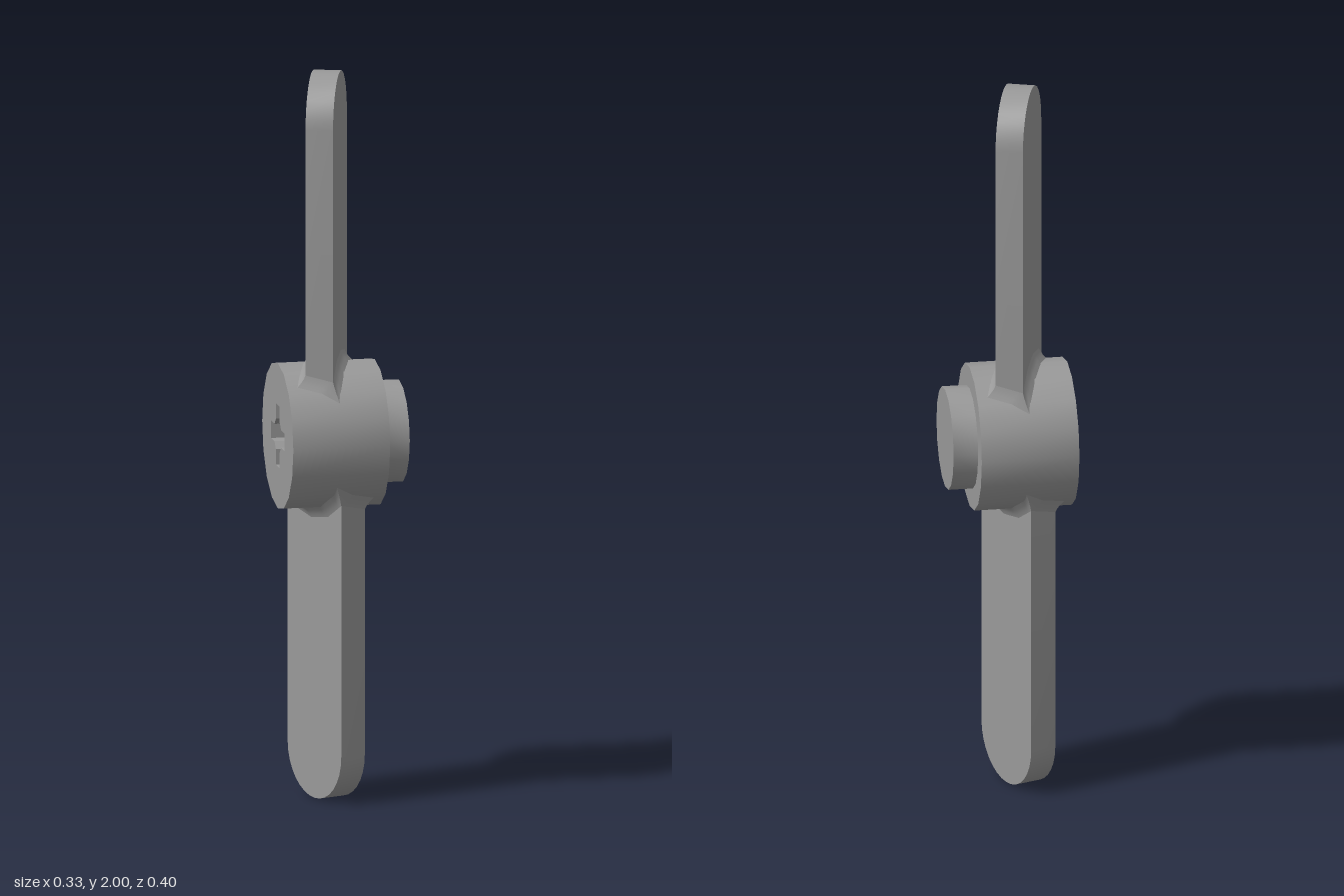
import * as THREE from 'three';
import { toCreasedNormals } from 'three/addons/utils/BufferGeometryUtils.js';

const HUB_R = 0.2, HUB_SIDES = 16, HALF_W = 0.136, HALF_T = 0.0375;
const PITCH = THREE.MathUtils.degToRad(70), BLADE_X = -0.0335;
const material = new THREE.MeshStandardMaterial({ color: 0x999999 });

function mesh(name, geometry) {
  const m = new THREE.Mesh(toCreasedNormals(geometry, 0.6), material);
  m.name = name;
  return m;
}

// Hub along x, with a cross-shaped axle socket open at -x
function hubGeometry() {
  const rim = [];
  for (let i = 0; i < HUB_SIDES; i++) {
    const a = (i / HUB_SIDES) * Math.PI * 2;
    rim.push(new THREE.Vector2(Math.cos(a) * HUB_R, Math.sin(a) * HUB_R));
  }
  const shape = new THREE.Shape(rim);
  const l = 0.085, w = 0.024, c = 0.042, cross = [];
  for (let i = 0; i < 4; i++) {
    for (const [x, y] of [[l, -w], [l, w], [c, w], [w, c]]) {
      cross.push(new THREE.Vector2(x, y).rotateAround(new THREE.Vector2(), i * Math.PI / 2));
    }
  }
  shape.holes.push(new THREE.Path(cross));
  return new THREE.ExtrudeGeometry(shape, { depth: 0.267, bevelEnabled: false })
    .rotateY(Math.PI / 2).translate(-0.167, 0, 0);
}

// Height of the faceted hub surface at a given z
function hubHeight(z) {
  const step = (Math.PI * 2) / HUB_SIDES;
  const a = Math.floor(Math.asin(Math.abs(z) / HUB_R) / step) * step;
  const z0 = Math.sin(a) * HUB_R, z1 = Math.sin(a + step) * HUB_R;
  return THREE.MathUtils.mapLinear(Math.abs(z), z0, z1, Math.cos(a) * HUB_R, Math.cos(a + step) * HUB_R);
}

// Flat blade with a semicircular tip, pitched about its length
function bladeGeometry() {
  const shape = new THREE.Shape();
  shape.moveTo(-HALF_W, 0.1);
  shape.lineTo(HALF_W, 0.1);
  shape.lineTo(HALF_W, 1 - HALF_W);
  shape.absarc(0, 1 - HALF_W, HALF_W, 0, Math.PI, false);
  shape.lineTo(-HALF_W, 0.1);
  return new THREE.ExtrudeGeometry(shape, { depth: 2 * HALF_T, bevelEnabled: false, curveSegments: 8 })
    .translate(0, 0, -HALF_T).rotateY(PITCH).translate(BLADE_X, 0, 0);
}

// Flared collar following the hub's curve around the blade root
function collarGeometry() {
  const rings = 3, steps = 16;
  const corners = [[-1, 1], [1, 1], [1, -1], [-1, -1]];
  const n = corners.length * steps, positions = [], index = [];
  for (let k = 0; k <= rings; k++) {
    const flare = (1 - k / rings) ** 1.4, rise = 0.03 * k / rings;
    for (let i = 0; i < n; i++) {
      const c = corners[Math.floor(i / steps)];
      const d = corners[(Math.floor(i / steps) + 1) % 4];
      const t = (i % steps) / steps;
      const x = THREE.MathUtils.lerp(c[0], d[0], t) * (HALF_W + 0.012 * flare);
      const z = THREE.MathUtils.lerp(c[1], d[1], t) * (HALF_T + 0.021 * flare);
      const hubZ = z * Math.cos(PITCH) - x * Math.sin(PITCH);
      positions.push(x, hubHeight(hubZ) + rise - 0.001, z);
      if (k < rings) {
        const p = k * n + i, q = k * n + (i + 1) % n;
        index.push(p, q, q + n, p, q + n, p + n);
      }
    }
  }
  const g = new THREE.BufferGeometry();
  g.setAttribute('position', new THREE.Float32BufferAttribute(positions, 3));
  g.setIndex(index);
  return g.rotateY(PITCH).translate(BLADE_X, 0, 0);
}

export function createModel() {
  const model = new THREE.Group();
  model.name = 'propeller';

  const hub = mesh('hub', hubGeometry());
  // The cap also closes the inner end of the axle socket
  const cap = mesh('hubCap', new THREE.CylinderGeometry(0.14, 0.14, 0.067, 16)
    .rotateZ(-Math.PI / 2).translate(0.1335, 0, 0));
  hub.position.y = cap.position.y = 1;
  model.add(hub, cap);

  // Two blades, half a turn apart about the hub axis
  ['upperBlade', 'lowerBlade'].forEach((name, i) => {
    const blade = new THREE.Group();
    blade.name = name;
    blade.add(mesh('bladeBody', bladeGeometry()), mesh('bladeRootCollar', collarGeometry()));
    blade.position.y = 1;
    blade.rotation.x = i * Math.PI;
    model.add(blade);
  });
  return model;
}
